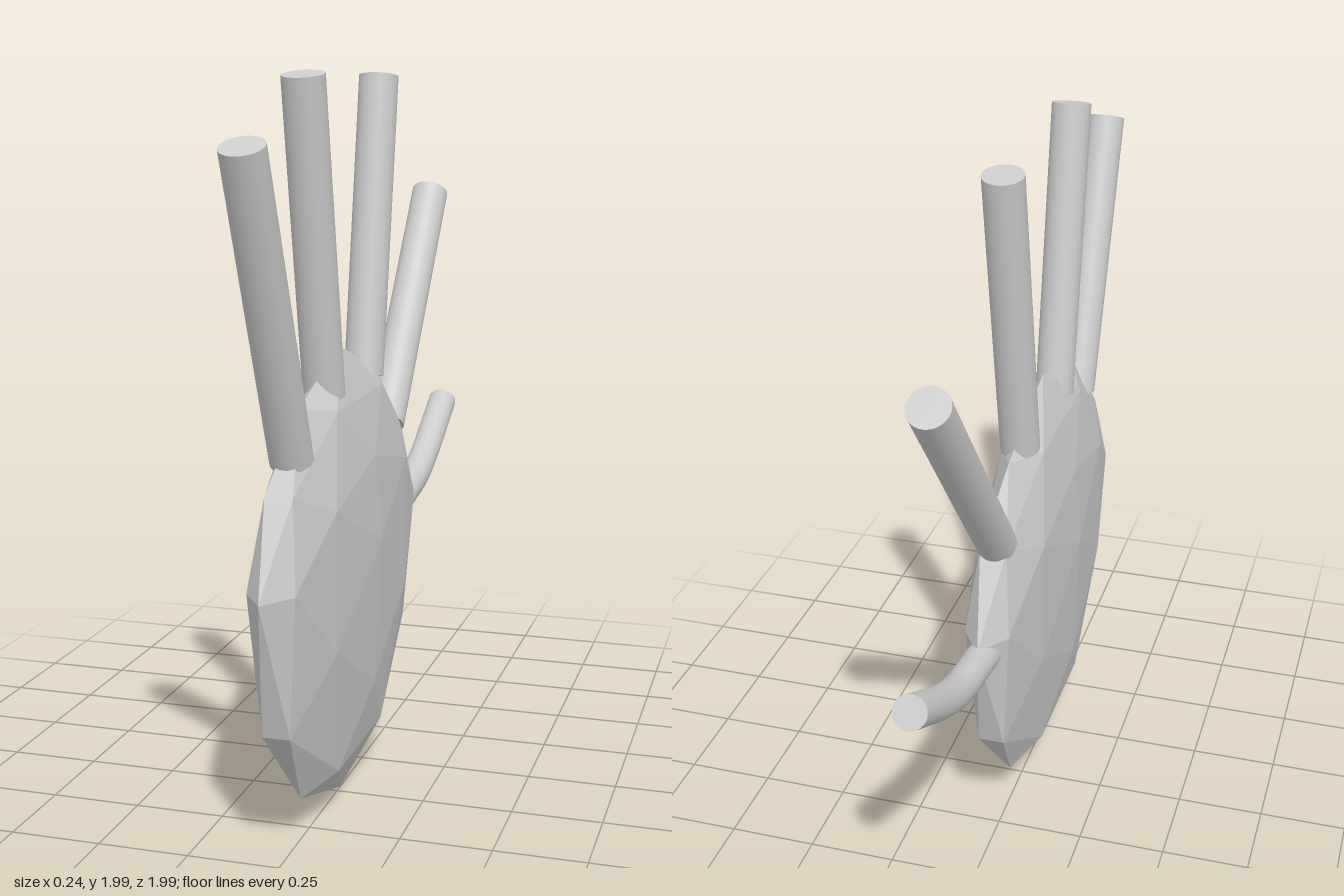
import * as THREE from 'three';

const grey = new THREE.MeshStandardMaterial({ color: 0xcccccc });
const facetedGrey = new THREE.MeshStandardMaterial({ color: 0xcccccc, flatShading: true });

function addMesh(parent, name, geometry, material = grey) {
  const mesh = new THREE.Mesh(geometry, material);
  mesh.name = name;
  parent.add(mesh);
  return mesh;
}

// Flattened faceted ball, widest a little above the middle
function palmGeometry() {
  const geometry = new THREE.IcosahedronGeometry(1, 1).rotateY(Math.PI / 2);
  const p = geometry.attributes.position;
  for (let i = 0; i < p.count; i++) {
    const x = p.getX(i), y = p.getY(i), z = p.getZ(i);
    const pole = Math.abs(y) > 0.95;
    const lift = Math.max(0, 0.1 * (1 - 3 * y * y));
    const shoulder = y > 0.4 && y < 0.6 ? 0.93 : 1;
    p.setXYZ(i, x * 0.12, 0.638 + y * (pole ? 0.632 : 0.61) + lift,
      0.22 + z * shoulder * (Math.abs(z) > 0.95 ? 0.66 : 0.67));
  }
  geometry.computeVertexNormals();
  return geometry;
}

// Straight capped rod between two points
function addRod(parent, name, from, to, radius) {
  const dir = to.clone().sub(from);
  const rod = addMesh(parent, name, new THREE.CylinderGeometry(radius, radius, dir.length(), 32));
  rod.position.copy(from).add(to).multiplyScalar(0.5);
  rod.quaternion.setFromUnitVectors(new THREE.Vector3(0, 1, 0), dir.normalize());
}

export function createModel() {
  const model = new THREE.Group();
  model.name = 'hand';
  const at = ([z, y]) => new THREE.Vector3(0, y, z);

  addMesh(model, 'palm', palmGeometry(), facetedGrey);

  // Four fingers fanned along the upper rim: [z, y] of base and tip
  const fingers = [
    [[0.623, 1.038], [0.947, 1.822]],
    [[0.353, 1.157], [0.512, 1.983]],
    [[-0.017, 1.152], [-0.169, 1.983]],
    [[-0.25, 0.97], [-0.775, 1.625]],
  ];
  fingers.forEach(([base, tip], i) => addRod(model, `finger${i + 1}`, at(base), at(tip), 0.056));

  // Bent thumb with a flat cap at each end
  const thumb = new THREE.Group();
  thumb.name = 'thumb';
  model.add(thumb);
  const path = new THREE.CatmullRomCurve3(
    [[-0.36, 0.69], [-0.48, 0.709], [-0.61, 0.733], [-0.74, 0.785], [-0.86, 0.85], [-0.972, 0.912]].map(at));
  addMesh(thumb, 'thumbShaft', new THREE.TubeGeometry(path, 24, 0.045, 24));
  for (const end of [0, 1]) {
    const cap = addMesh(thumb, end ? 'thumbTip' : 'thumbBase', new THREE.CircleGeometry(0.045, 24));
    cap.position.copy(path.getPoint(end));
    const outward = path.getTangent(end).multiplyScalar(end ? 1 : -1);
    cap.quaternion.setFromUnitVectors(new THREE.Vector3(0, 0, 1), outward);
  }

  return model;
}
